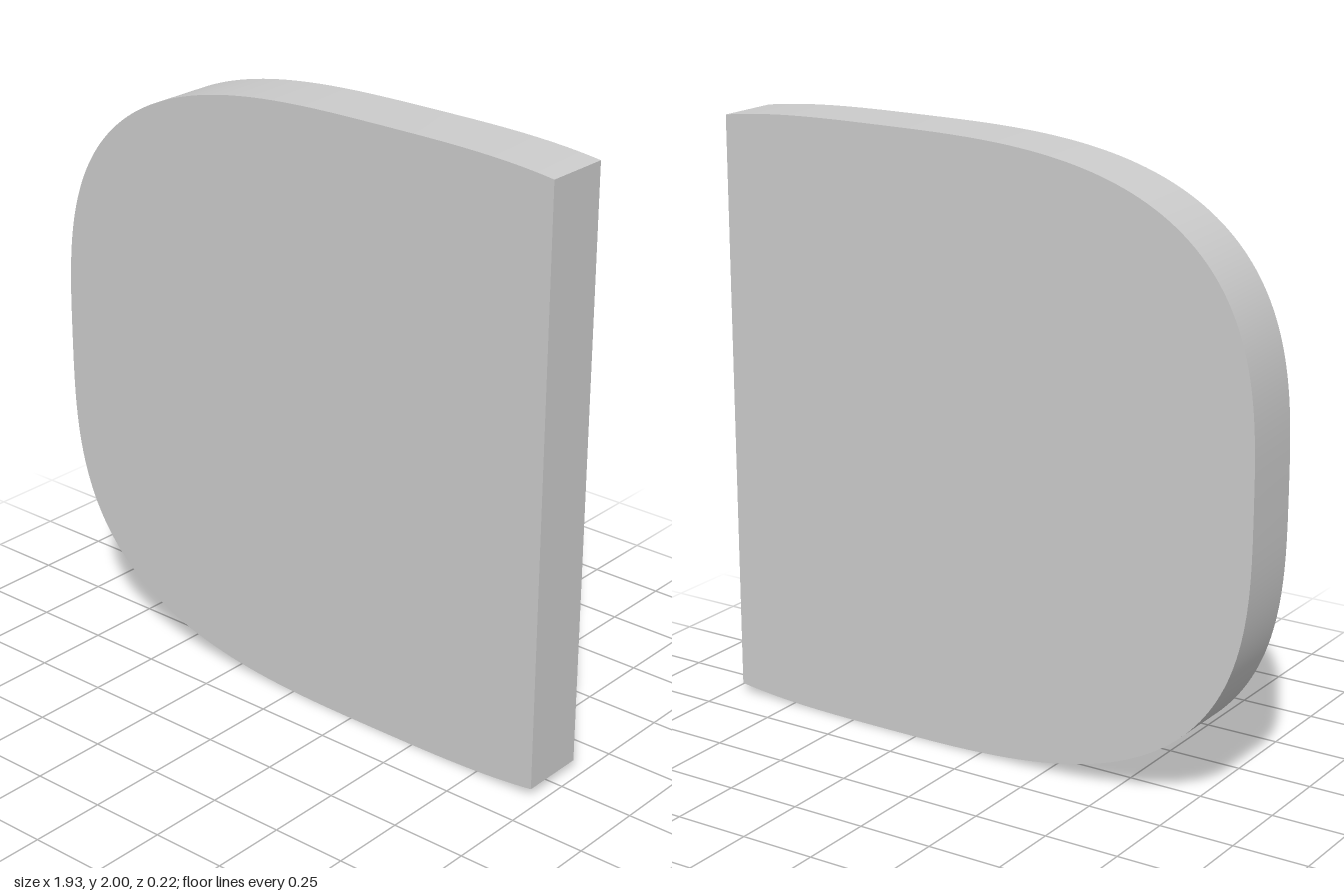
import * as THREE from 'three';
import { toCreasedNormals } from 'three/addons/utils/BufferGeometryUtils.js';

const HALF_WIDTH = 0.963, THICKNESS = 0.22;
const CENTRE_X = 0.37, POWER = 3.1;

// Superellipse outline, cut off by a straight edge on the +x side
function panelShape() {
  const a = CENTRE_X + HALF_WIDTH;
  const u = (HALF_WIDTH - CENTRE_X) / a;
  const cut = Math.acos(Math.pow(u, POWER / 2));
  const bend = (v) => Math.sign(v) * Math.pow(Math.abs(v), 2 / POWER);
  const points = [];
  const steps = 128;
  for (let i = 0; i <= steps; i++) {
    const t = cut + (2 * Math.PI - 2 * cut) * (i / steps);
    points.push(new THREE.Vector2(CENTRE_X + a * bend(Math.cos(t)), 1 + bend(Math.sin(t))));
  }
  return new THREE.Shape(points);
}

export function createModel() {
  const group = new THREE.Group();
  group.name = 'roundedPanel';

  // Flat slab with a smooth rim and crisp edges
  const slab = new THREE.ExtrudeGeometry(panelShape(), { depth: THICKNESS, bevelEnabled: false });
  slab.translate(0, 0, -THICKNESS / 2);
  const panel = new THREE.Mesh(
    toCreasedNormals(slab, 0.6),
    new THREE.MeshStandardMaterial({ color: 0xcccccc })
  );
  panel.name = 'panel';
  group.add(panel);

  return group;
}
